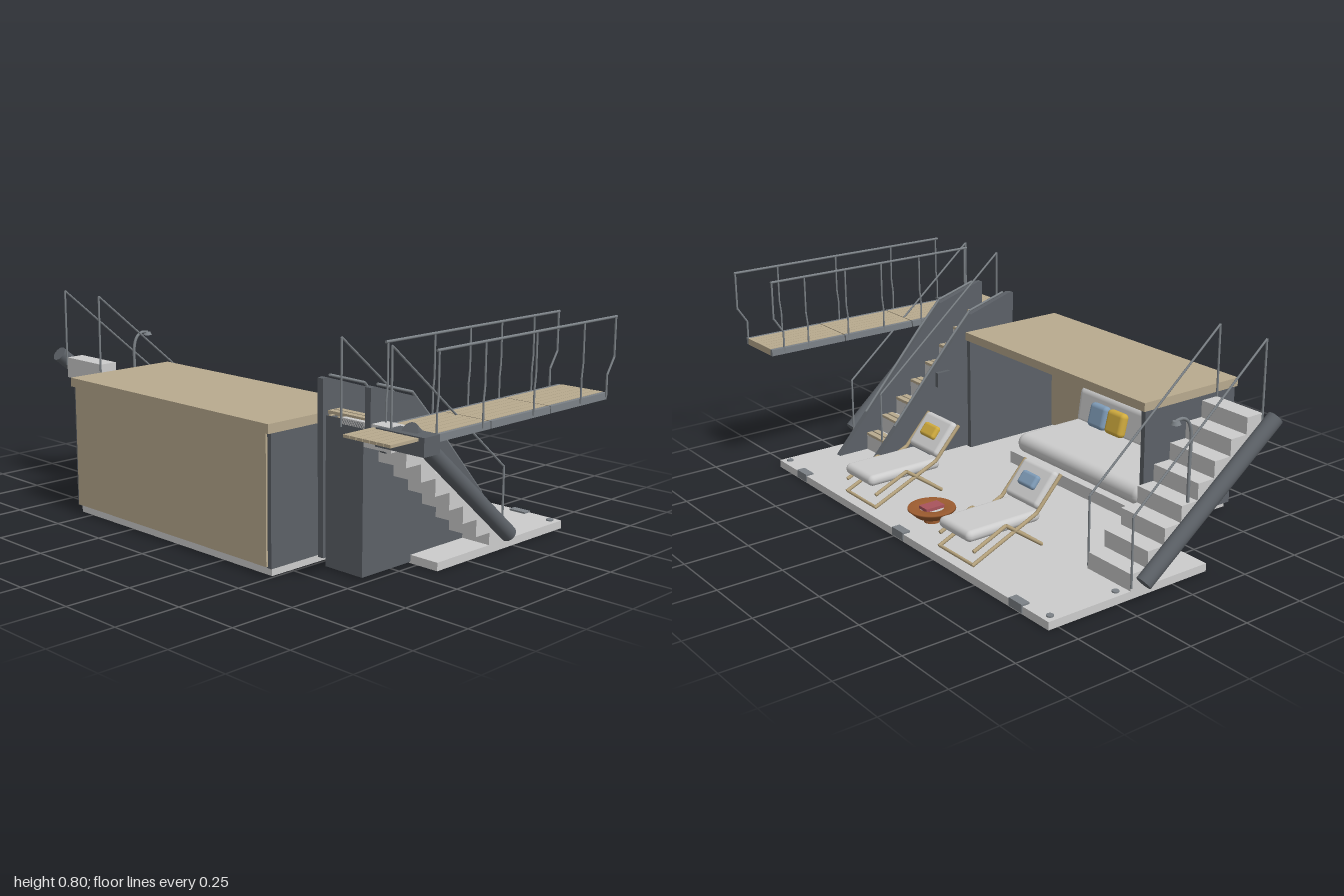
import * as THREE from 'three';
import { RoundedBoxGeometry } from 'three/addons/geometries/RoundedBoxGeometry.js';

const mat = (color) => new THREE.MeshStandardMaterial({ color, side: THREE.DoubleSide });
const grey = mat(0xcccccc), tan = mat(0xb8aa8e), dark = mat(0x5c6167), metal = mat(0x7c8287),
  wood = mat(0xb5a27c), brown = mat(0x9c5c30), deepBrown = mat(0x4a3222), red = mat(0xa8535c),
  blue = mat(0x7f9cb8), yellow = mat(0xd0ab3e);

const add = (parent, name, geo, material) => {
  const m = new THREE.Mesh(geo, material);
  m.name = name;
  parent.add(m);
  return m;
};
const group = (parent, name) => {
  const g = new THREE.Group();
  g.name = name;
  parent.add(g);
  return g;
};
// box given by its limits on each axis
const box = (parent, name, material, [x0, x1], [y0, y1], [z0, z1]) => {
  const m = add(parent, name, new THREE.BoxGeometry(x1 - x0, y1 - y0, z1 - z0), material);
  m.position.set((x0 + x1) / 2, (y0 + y1) / 2, (z0 + z1) / 2);
  return m;
};
const soft = (parent, name, material, size, pos, radius, tilt = 0) => {
  const m = add(parent, name, new RoundedBoxGeometry(...size, 5, radius), material);
  m.position.set(...pos);
  m.rotation.x = tilt;
  return m;
};
// round bar between two points
const bar = (parent, name, material, a, b, r, sides = 8) => {
  const p = new THREE.Vector3(...a), q = new THREE.Vector3(...b);
  const m = add(parent, name, new THREE.CylinderGeometry(r, r, p.distanceTo(q), sides), material);
  m.position.copy(p).lerp(q, 0.5);
  m.quaternion.setFromUnitVectors(new THREE.Vector3(0, 1, 0), q.sub(p).normalize());
  return m;
};
const path = (parent, name, material, pts, r) => {
  for (let i = 1; i < pts.length; i++) bar(parent, name, material, pts[i - 1], pts[i], r);
};
// side profile in (z, y), extruded from x0 to x1
const profile = (parent, name, material, pts, x0, x1) => {
  const shape = new THREE.Shape(pts.map(([z, y]) => new THREE.Vector2(z, y)));
  const geo = new THREE.ExtrudeGeometry(shape, { depth: x1 - x0, bevelEnabled: false });
  geo.rotateY(-Math.PI / 2).translate(x1, 0, 0);
  return add(parent, name, geo, material);
};

const STEPS = 8, RUN = 0.0737, RISE = 0.0625, Z0 = -0.19;

// grey block stair; fx maps x so the same stair serves both sides
function stair(parent, name, fx) {
  const g = group(parent, name);
  const xs = [fx(-0.9), fx(-0.68)].sort((a, b) => a - b);
  for (let i = 0; i < STEPS; i++) {
    const top = 0.03 + RISE * (i + 1), z = Z0 + RUN * i;
    box(g, 'step', grey, xs, [Math.max(0.03, top - 0.08), top], [z, z + RUN]);
  }
  bar(g, 'sideTube', dark, [fx(-0.94), 0.07, -0.17], [fx(-0.968), 0.535, 0.39], 0.03, 24);
  for (const x of xs) {
    path(g, 'handrail', metal, [[x, 0.04, -0.187], [x, 0.3, -0.187], [x, 0.797, 0.4], [x, 0.5, 0.4]], 0.004);
  }
}

function loungeChair(parent, x, pillowColor) {
  const g = group(parent, 'loungeChair');
  g.position.x = x;
  soft(g, 'seatCushion', grey, [0.185, 0.042, 0.32], [0, 0.14, -0.355], 0.02);
  soft(g, 'backCushion', grey, [0.185, 0.035, 0.15], [0, 0.225, -0.165], 0.017, -0.87);
  soft(g, 'pillow', pillowColor, [0.09, 0.025, 0.055], [0, 0.243, -0.18], 0.012, -0.87);
  for (const s of [-0.1, 0.1]) {
    path(g, 'backFrame', wood, [[s, 0.28, -0.115], [s, 0.16, -0.225], [s, 0.04, -0.505]], 0.007);
    path(g, 'legFrame', wood, [[s, 0.035, -0.2], [s, 0.15, -0.36], [s, 0.09, -0.5]], 0.007);
  }
  for (const [y, z] of [[0.27, -0.12], [0.04, -0.5], [0.04, -0.205], [0.12, -0.32]]) {
    bar(g, 'crossBar', wood, [-0.1, y, z], [0.1, y, z], 0.006);
  }
}

function cabin(parent) {
  const g = group(parent, 'cabin');
  box(g, 'cabinFloor', grey, [-0.55, 0.5], [0.005, 0.03], [0.16, 0.6]);
  box(g, 'frontPanel', tan, [-0.555, 0.485], [0.035, 0.495], [0.59, 0.612]);
  box(g, 'roof', tan, [-0.57, 0.505], [0.492, 0.525], [0.155, 0.62]);
  for (const x of [-0.57, 0.482]) box(g, 'sideWall', dark, [x, x + 0.02], [0.03, 0.495], [0.16, 0.605]);
  // daybed inside
  box(g, 'bedBase', grey, [-0.52, 0.25], [0.03, 0.08], [0.19, 0.58]);
  soft(g, 'bedCushion', grey, [0.74, 0.08, 0.36], [-0.135, 0.12, 0.38], 0.038);
  soft(g, 'bedBack', grey, [0.72, 0.16, 0.06], [-0.135, 0.215, 0.545], 0.028, 0.15);
  soft(g, 'pillow', blue, [0.1, 0.1, 0.04], [0.06, 0.215, 0.495], 0.018, 0.25);
  soft(g, 'pillow', yellow, [0.1, 0.1, 0.04], [-0.045, 0.215, 0.495], 0.018, 0.25);
}

function plankStair(parent) {
  const g = group(parent, 'plankStair');
  profile(g, 'stairBody', dark, [[0.4, 0.005], [0.4, 0.51], [-0.17, 0.03], [0.16, 0.03], [0.16, 0.005]], 0.55, 0.72);
  box(g, 'towerTop', dark, [0.55, 0.72], [0.5, 0.528], [0.34, 0.4]);
  const top = [[0.405, 0.65], [0.385, 0.652], [0.19, 0.592], [0.1, 0.5], [-0.323, 0.03]];
  profile(g, 'innerStringer', dark, [[0.4, 0.03], ...top], 0.515, 0.54);
  profile(g, 'outerStringer', dark, [[0.405, 0.48], ...top, [-0.19, 0.03]], 0.73, 0.755);
  for (let i = 0; i < STEPS; i++) {
    const y = 0.04 + RISE * (i + 1), z = Z0 + RUN * i;
    for (const dz of [0, 0.03]) box(g, 'treadSlat', tan, [0.54, 0.73], [y - 0.012, y], [z + dz, z + dz + 0.024]);
    for (const x of [0.56, 0.6]) box(g, 'treadBearer', tan, [x, x + 0.012], [y - 0.03, y - 0.01], [z, z + RUN]);
  }
  for (const x of [0.527, 0.742]) {
    path(g, 'stringerRail', metal, [[x, 0.655, 0.36], [x, 0.605, 0.19], [x, 0.5, 0.09], [x, 0.19, -0.185]], 0.005);
  }
  box(g, 'switchBox', dark, [0.498, 0.516], [0.32, 0.38], [0.01, 0.07]);
}

function walkway(parent) {
  const g = group(parent, 'walkway');
  // framed plank sections
  for (const [z0, z1] of [[-0.585, -0.255], [-0.25, 0.07], [0.075, 0.35]]) {
    box(g, 'underside', deepBrown, [0.785, 0.965], [0.503, 0.512], [z0 + 0.01, z1 - 0.01]);
    for (const x of [0.77, 0.965]) box(g, 'sideBeam', metal, [x, x + 0.015], [0.5, 0.525], [z0, z1]);
    for (const z of [z0, z1 - 0.012]) box(g, 'endBeam', tan, [0.785, 0.965], [0.5, 0.526], [z, z + 0.012]);
    for (let i = 0; i < 6; i++) {
      const x = 0.786 + i * 0.03;
      box(g, 'plank', tan, [x, x + 0.027], [0.512, 0.526], [z0 + 0.012, z1 - 0.012]);
    }
  }
  for (let i = 0; i < 7; i++) {
    const x = 0.772 + i * 0.029;
    box(g, 'endPlank', tan, [x, x + 0.026], [0.516, 0.526], [0.41, 0.55]);
  }
  box(g, 'crossBeam', dark, [0.79, 0.995], [0.467, 0.53], [0.345, 0.42]);
  box(g, 'landingBlock', grey, [0.62, 0.83], [0.475, 0.532], [0.345, 0.4]);
  // railings, the last posts bent outwards
  const rails = [[0.772, -0.57, [0.35, 0.12, -0.065, -0.235, -0.42]], [0.985, -0.615, [0.35, 0.12, -0.15, -0.42]]];
  for (const [x, end, zs] of rails) {
    bar(g, 'topRail', metal, [x, 0.795, 0.355], [x, 0.795, end - 0.005], 0.005);
    for (const z of zs) path(g, 'railPost', metal, [[x, 0.51, z], [x, 0.6, z], [x, 0.65, z - 0.006], [x, 0.795, z - 0.006]], 0.0035);
    path(g, 'endPost', metal, [[x, 0.51, end + 0.04], [x, 0.59, end + 0.04], [x, 0.65, end], [x, 0.795, end]], 0.004);
  }
}

export function createModel() {
  const model = new THREE.Group();
  model.name = 'deckWithCabinAndStairs';

  // deck with edge brackets and bolts
  box(model, 'deck', grey, [-0.9, 0.84], [0, 0.03], [-0.54, 0.16]);
  for (const x of [-0.73, -0.03, 0.66]) box(model, 'edgeBracket', metal, [x - 0.035, x + 0.035], [0.005, 0.036], [-0.543, -0.51]);
  for (const [x, z] of [[-0.87, -0.51], [-0.87, -0.23], [0.81, -0.51]]) {
    add(model, 'deckBolt', new THREE.CylinderGeometry(0.013, 0.013, 0.006, 20), metal).position.set(x, 0.032, z);
  }

  cabin(model);
  stair(model, 'rightStair', (x) => x);
  stair(model, 'leftStair', (x) => -0.06 - x);
  plankStair(model);
  walkway(model);
  loungeChair(model, -0.34, blue);
  loungeChair(model, 0.28, yellow);

  // low round table
  const table = group(model, 'roundTable');
  table.position.set(-0.03, 0, -0.39);
  const rim = [[0, 0.056], [0.062, 0.056], [0.09, 0.082], [0.088, 0.087], [0.046, 0.085], [0.044, 0.076]];
  add(table, 'tableBowl', new THREE.LatheGeometry(rim.map((p) => new THREE.Vector2(...p)), 40), brown);
  add(table, 'tableInset', new THREE.CylinderGeometry(0.045, 0.045, 0.012, 32), grey).position.y = 0.076;
  add(table, 'pedestal', new THREE.CylinderGeometry(0.03, 0.03, 0.03, 24), brown).position.y = 0.043;
  box(table, 'book', red, [-0.025, 0.025], [0.08, 0.094], [-0.04, 0.04]);

  // shower on the right stair
  const shower = group(model, 'shower');
  const bend = new THREE.CatmullRomCurve3([[0.25, 0.07], [0.4, 0.07], [0.54, 0.07], [0.575, 0.055], [0.59, 0.03], [0.588, 0]]
    .map(([y, z]) => new THREE.Vector3(-0.888, y, z)));
  add(shower, 'showerPipe', new THREE.TubeGeometry(bend, 40, 0.006, 8), metal);
  add(shower, 'showerHead', new THREE.CylinderGeometry(0.012, 0.018, 0.012, 20), metal).position.set(-0.888, 0.582, 0);

  return model;
}
